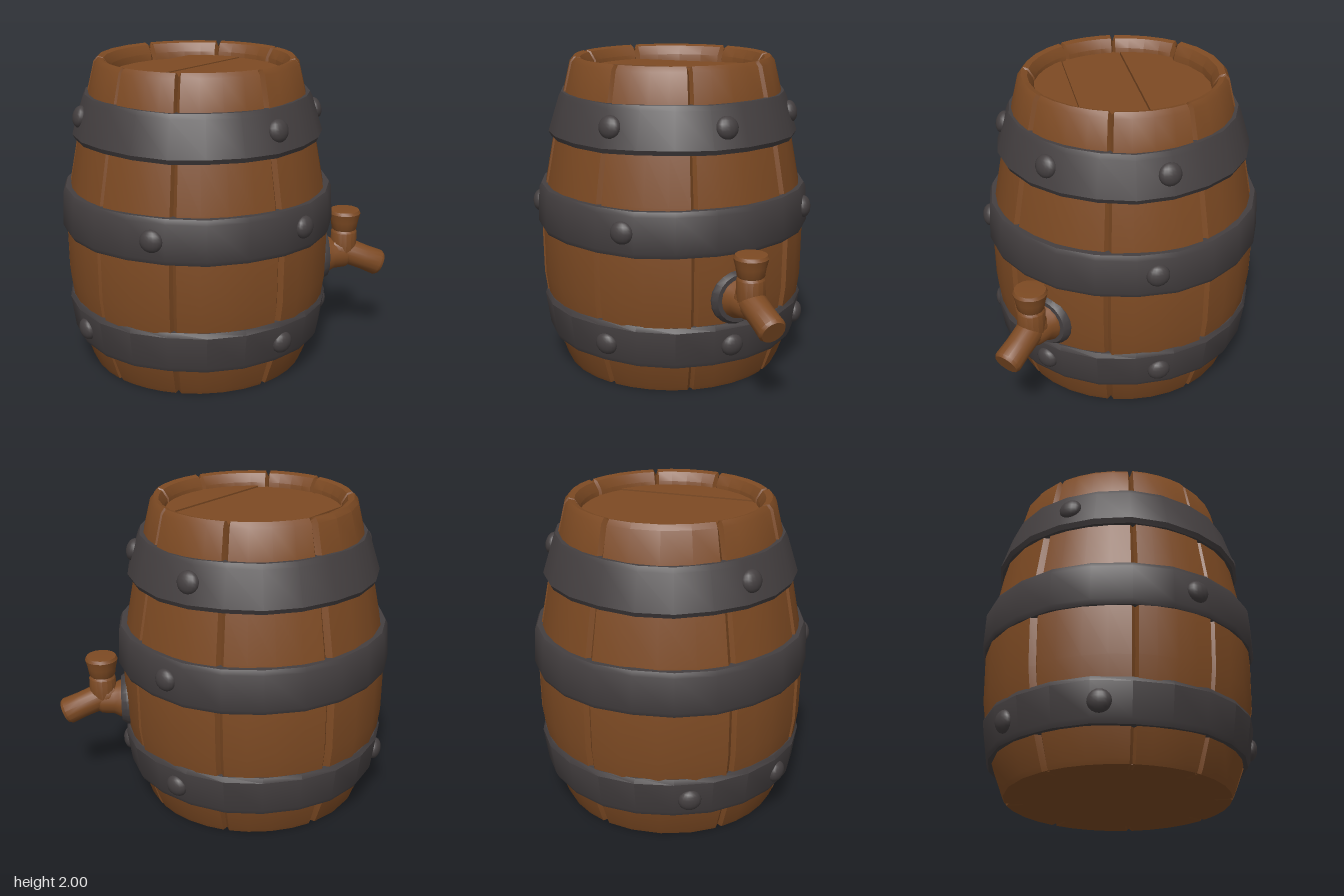
import * as THREE from 'three';
import { toCreasedNormals } from 'three/addons/utils/BufferGeometryUtils.js';

const wood = new THREE.MeshStandardMaterial({ color: 0x7d4a23 });
wood.name = 'brown wood';
const iron = new THREE.MeshStandardMaterial({ color: 0x443f40 });
iron.name = 'dark iron';

const rad = THREE.MathUtils.degToRad;

function add(parent, name, geometry, material) {
  const mesh = new THREE.Mesh(geometry, material);
  mesh.name = name;
  parent.add(mesh);
  return mesh;
}

function lathe(points, sides, crease = 0.6) {
  const g = new THREE.LatheGeometry(points.map(([r, y]) => new THREE.Vector2(r, y)), sides);
  return toCreasedNormals(g, crease);
}

// Stave cross-section [radius, height], from inside the rim, over the top, down to the base
const STAVE = [
  [0.545, 1.86], [0.55, 1.93], [0.585, 1.985], [0.615, 1.995], [0.64, 1.965],
  [0.685, 1.78], [0.755, 1.5], [0.812, 1.2], [0.846, 0.9], [0.842, 0.6],
  [0.815, 0.4], [0.77, 0.2], [0.715, 0.03], [0.7, 0], [0.6, 0],
];

// One curved stave between two angles, with edges that dip into a groove
function staveGeometry(a0, a1, bulge) {
  const steps = [0, 0.035, 0.25, 0.5, 0.75, 0.965, 1];
  const n = steps.length;
  const pos = [], index = [];
  STAVE.forEach(([r0, y0], i) => {
    steps.forEach((t, j) => {
      const edge = j === 0 || j === n - 1;
      const a = a0 + (a1 - a0) * t;
      let r = r0, y = y0;
      if (edge) {
        r += r0 < 0.6 ? 0.02 : -0.022;
        if (y0 > 1.9) y -= 0.03;
        if (y0 < 0.05) y += 0.01;
      } else if (y0 > 0.1 && r0 > 0.6) r += bulge;
      pos.push(r * Math.cos(a), y, r * Math.sin(a));
      if (i < STAVE.length - 1 && j < n - 1) {
        const p = i * n + j;
        index.push(p, p + 1, p + n, p + 1, p + n + 1, p + n);
      }
    });
  });
  const g = new THREE.BufferGeometry();
  g.setAttribute('position', new THREE.Float32BufferAttribute(pos, 3));
  g.setIndex(index);
  return toCreasedNormals(g, 0.5);
}

// One board of the lid, cut to the round opening
function plankGeometry(z0, z1, radius) {
  const pts = [], steps = 8;
  for (const side of [1, -1]) {
    for (let i = 0; i <= steps; i++) {
      const t = side > 0 ? i / steps : 1 - i / steps;
      const z = z0 + (z1 - z0) * t;
      pts.push(new THREE.Vector2(side * Math.sqrt(Math.max(0, radius * radius - z * z)), z));
    }
  }
  const g = new THREE.ExtrudeGeometry(new THREE.Shape(pts), { depth: 0.04, bevelEnabled: false });
  return g.rotateX(Math.PI / 2);
}

// Iron band with chamfered, slightly uneven edges
function hoopGeometry(y0, y1, rb, rt) {
  const g = new THREE.LatheGeometry([
    [rb - 0.07, y0], [rb - 0.015, y0], [rb, y0 + 0.03],
    [rt, y1 - 0.03], [rt - 0.015, y1], [rt - 0.07, y1],
  ].map(([r, y]) => new THREE.Vector2(r, y)), 22);
  const p = g.attributes.position;
  for (let i = 0; i < p.count; i++) {
    const a = Math.atan2(p.getZ(i), p.getX(i));
    p.setY(i, p.getY(i) + 0.006 * Math.sin(5 * a + y0 * 7) * Math.cos(2 * a));
  }
  return toCreasedNormals(g, 0.6);
}

function buildTap() {
  const tap = new THREE.Group();
  tap.name = 'tap';
  // Wall plate and flared pipe, both lying along z
  add(tap, 'tapPlate', lathe([[0.172, 0.74], [0.172, 0.835], [0.15, 0.87], [0, 0.87]], 20)
    .rotateX(Math.PI / 2), iron).position.y = 0.635;
  add(tap, 'tapPipe', lathe([[0.13, 0.84], [0.12, 0.885], [0.1, 0.92], [0.092, 1.0], [0.06, 1.05], [0, 1.065]], 16, 1)
    .rotateX(Math.PI / 2), wood).position.y = 0.635;

  // Spout sloping down and outwards
  const from = new THREE.Vector3(0, 0.68, 0.95), to = new THREE.Vector3(0, 0.552, 1.245);
  const dir = to.clone().sub(from);
  const len = dir.length();
  const spout = add(tap, 'tapSpout', lathe([
    [0, -0.06], [0.06, -0.05], [0.088, 0], [0.084, len * 0.6], [0.088, len - 0.02], [0.076, len], [0, len],
  ], 16), wood);
  spout.position.copy(from);
  spout.quaternion.setFromUnitVectors(new THREE.Vector3(0, 1, 0), dir.normalize());

  // Upright stem and the flared handle above a groove
  add(tap, 'tapStem', lathe([[0, 0.57], [0.06, 0.585], [0.088, 0.64], [0.086, 0.795], [0.076, 0.81], [0, 0.81]], 16),
    wood).position.z = 0.99;
  add(tap, 'tapHandle', lathe([[0.07, 0.8], [0.084, 0.82], [0.092, 0.87], [0.106, 0.925], [0.096, 0.945], [0, 0.95]], 16),
    wood).position.z = 0.99;
  tap.rotation.y = rad(42.5);
  return tap;
}

export function createModel() {
  const model = new THREE.Group();
  model.name = 'barrel';
  const body = new THREE.Group();
  body.name = 'barrelBody';
  body.position.set(-0.02, 0, -0.06);
  model.add(body);

  // Uneven staves
  const seams = [-69, -23, 20, 66, 107, 153, 187, 229, 291];
  const bulges = [0.004, 0.008, 0, 0.008, 0.003, 0.01, 0.002, 0.008];
  for (let i = 0; i < 8; i++) {
    add(body, 'stave', staveGeometry(rad(seams[i]), rad(seams[i + 1]), bulges[i]), wood);
  }

  // Base and sunken lid
  add(body, 'base', new THREE.CylinderGeometry(0.675, 0.675, 0.02, 32), wood).position.y = 0.015;
  add(body, 'lidBacking', new THREE.CylinderGeometry(0.57, 0.57, 0.02, 32), wood).position.y = 1.86;
  const cuts = [-0.565, -0.4, -0.08, 0.32, 0.565];
  const heights = [1.885, 1.905, 1.9, 1.907];
  for (let i = 0; i < 4; i++) {
    const plank = add(body, 'lidPlank', plankGeometry(cuts[i] + 0.004, cuts[i + 1] - 0.004, 0.57), wood);
    plank.position.y = heights[i];
    plank.rotation.y = rad(-3);
  }

  // Hoops [bottom, top, lower radius, upper radius] with rivet angles and height
  const hoops = [
    { name: 'topHoop', size: [1.5, 1.78, 0.797, 0.728], rivets: [104, 50, -7, 217], y: 1.65 },
    { name: 'middleHoop', size: [0.91, 1.19, 0.878, 0.868], rivets: [95, 161, 0], y: 1.055 },
    { name: 'bottomHoop', size: [0.2, 0.47, 0.82, 0.85], rivets: [104, 49, -2, 201, 247], y: 0.325 },
  ];
  const dome = new THREE.SphereGeometry(1, 16, 10);
  for (const { name, size, rivets, y } of hoops) {
    add(body, name, hoopGeometry(...size), iron);
    const [y0, y1, rb, rt] = size;
    const r = rb + (rt - rb) * (y - y0) / (y1 - y0) - 0.008;
    for (const deg of rivets) {
      const a = rad(deg);
      const rivet = add(body, 'rivet', dome, iron);
      rivet.scale.set(0.072, 0.07, 0.045);
      rivet.position.set(r * Math.cos(a), y, r * Math.sin(a));
      rivet.rotation.set(-Math.atan2(rb - rt, y1 - y0), Math.PI / 2 - a, 0, 'YXZ');
    }
  }

  body.add(buildTap());
  return model;
}
